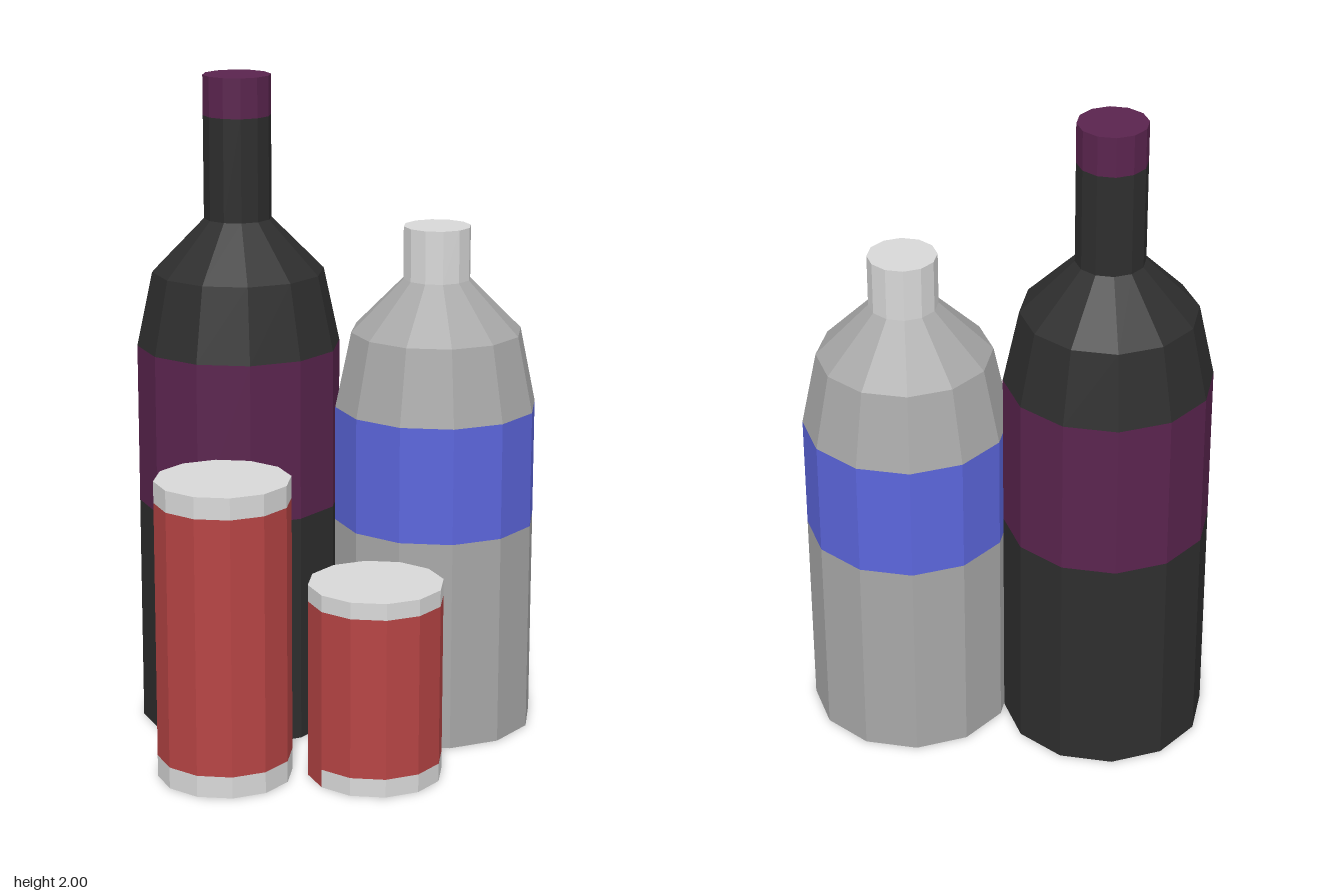
import * as THREE from 'three';

const SIDES = 12;

function material(name, color) {
  const m = new THREE.MeshStandardMaterial({ color, flatShading: true });
  m.name = name;
  return m;
}

// Open ring of wall between two heights; start and faces select part of the way round
function band(group, name, mat, y0, y1, r0, r1 = r0, start = 0, faces = SIDES) {
  const step = (Math.PI * 2) / SIDES;
  const geo = new THREE.CylinderGeometry(r1, r0, y1 - y0, faces, 1, true, start * step, faces * step);
  const mesh = new THREE.Mesh(geo, mat);
  mesh.position.y = (y0 + y1) / 2;
  mesh.name = name;
  group.add(mesh);
}

// Flat end facing up (dir 1) or down (dir -1)
function disc(group, name, mat, y, r, dir) {
  const mesh = new THREE.Mesh(new THREE.CircleGeometry(r, SIDES), mat);
  mesh.rotation.x = (-dir * Math.PI) / 2;
  mesh.position.y = y;
  mesh.name = name;
  group.add(mesh);
}

function groupAt(parent, name, x, z) {
  const g = new THREE.Group();
  g.name = name;
  g.position.set(x, 0, z);
  parent.add(g);
  return g;
}

// Body, label, two-step shoulder, neck and cap
function bottle(parent, name, x, z, glass, label, cap, h) {
  const g = groupAt(parent, name, x, z);
  const R = 0.308, S = 0.26, N = 0.102;
  disc(g, 'base', glass, 0, R, -1);
  band(g, 'body', glass, 0, h.label, R);
  band(g, 'label', label, h.label, h.shoulder, R);
  band(g, 'lowerShoulder', glass, h.shoulder, h.bend, R, S);
  band(g, 'upperShoulder', glass, h.bend, h.neck, S, N);
  if (h.cap > h.neck) band(g, 'neck', glass, h.neck, h.cap, N);
  band(g, 'cap', cap, h.cap, h.top, N);
  disc(g, 'capTop', cap, h.top, N, 1);
}

// Can with pale rims; rimFaces limits how far the bottom rim reaches round
function can(parent, name, x, z, paint, metal, y, rimStart = 0, rimFaces = SIDES) {
  const g = groupAt(parent, name, x, z);
  const R = 0.2;
  disc(g, 'base', metal, 0, R, -1);
  band(g, 'bottomRim', metal, 0, y.rim, R, R, rimStart, rimFaces);
  if (rimFaces < SIDES) {
    band(g, 'lowerWall', paint, 0, y.rim, R, R, rimStart + rimFaces, SIDES - rimFaces);
  }
  band(g, 'wall', paint, y.rim, y.wall, R);
  band(g, 'topRim', metal, y.wall, y.top, R);
  disc(g, 'lid', metal, y.top, R, 1);
}

export function createModel() {
  const model = new THREE.Group();
  model.name = 'bottlesAndCans';

  const dark = material('darkGlass', 0x2e2e2e);
  const purple = material('purpleLabel', 0x5a244e);
  const grey = material('greyPlastic', 0xa8a8a8);
  const blue = material('blueLabel', 0x5c66dc);
  const red = material('redPaint', 0xb64444);
  const pale = material('paleMetal', 0xd8d8d8);

  bottle(model, 'tallBottle', -0.112, -0.275, dark, purple, purple,
    { label: 0.7, shoulder: 1.185, bend: 1.41, neck: 1.57, cap: 1.88, top: 2 });
  bottle(model, 'shortBottle', 0.344, 0.112, grey, blue, pale,
    { label: 0.645, shoulder: 1.0, bend: 1.23, neck: 1.39, cap: 1.39, top: 1.55 });

  can(model, 'tallCan', -0.455, 0.112, red, pale, { rim: 0.065, wall: 0.84, top: 0.905 });
  can(model, 'shortCan', -0.101, 0.378, red, pale, { rim: 0.055, wall: 0.54, top: 0.59 }, -3, 5);

  return model;
}
